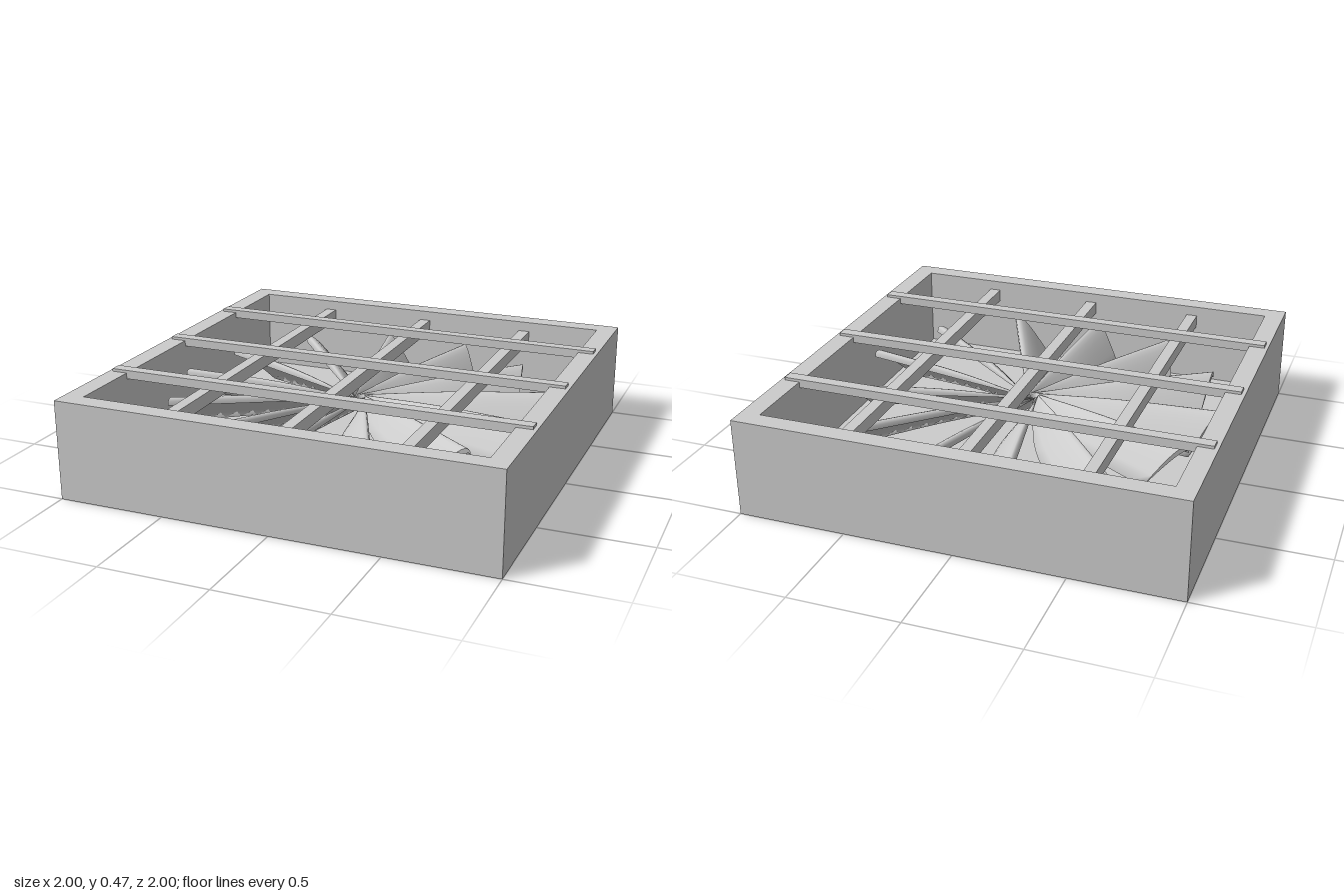
import * as THREE from 'three';

const mat = new THREE.MeshStandardMaterial({ color: 0xcccccc });
const bladeMat = new THREE.MeshStandardMaterial({ color: 0xcccccc, side: THREE.DoubleSide });

function box(name, w, h, d, x, y, z) {
  const m = new THREE.Mesh(new THREE.BoxGeometry(w, h, d), mat);
  m.name = name;
  m.position.set(x, y, z);
  return m;
}

// Square housing: extruded walls with a square opening
function housingWalls() {
  const square = (s) => [[-s, -s], [s, -s], [s, s], [-s, s]].map(([x, y]) => new THREE.Vector2(x, y));
  const shape = new THREE.Shape(square(1));
  shape.holes.push(new THREE.Path(square(0.91).reverse()));
  const geo = new THREE.ExtrudeGeometry(shape, { depth: 0.457, bevelEnabled: false });
  geo.rotateX(-Math.PI / 2);
  const m = new THREE.Mesh(geo, mat);
  m.name = 'housingWalls';
  return m;
}

// Blade: cambered sections lofted from the centre to the slanted tip
function bladeGeometry() {
  const v = (x, y, z) => new THREE.Vector3(x, y, z);
  const lead = new THREE.CatmullRomCurve3([v(0.01, 0.28, -0.025), v(0.42, 0.285, -0.045), v(0.89, 0.29, -0.062)]);
  const trail = new THREE.CatmullRomCurve3([v(0.01, 0.22, 0.005), v(0.34, 0.18, 0.092), v(0.78, 0.15, 0.11)]);
  const stations = 12, half = 9, ring = half * 2;
  const pos = [], idx = [];
  for (let s = 0; s <= stations; s++) {
    const a = lead.getPoint(s / stations), b = trail.getPoint(s / stations);
    const width = b.z - a.z;
    for (let k = 0; k < ring; k++) {
      const upper = k <= half;
      const u = upper ? k / half : (ring - k) / half;
      const c = u * u;
      // rounded nose, thin trailing edge
      const p = a.clone().lerp(b, c);
      p.y += (Math.sqrt(c) - c) * (upper ? 1.3 : 0.7) * width;
      pos.push(p.x, p.y, p.z);
    }
  }
  for (let s = 0; s < stations; s++)
    for (let k = 0; k < ring; k++) {
      const p = s * ring + k, q = s * ring + (k + 1) % ring;
      idx.push(p, q, p + ring, q, q + ring, p + ring);
    }
  // tip cap with its own vertices, bridging upper and lower edges
  const base = pos.length / 3;
  pos.push(...pos.slice(stations * ring * 3));
  for (let k = 0; k < half; k++) {
    const u0 = base + k, u1 = u0 + 1;
    const l0 = base + (ring - k) % ring, l1 = base + ring - k - 1;
    idx.push(u0, u1, l1, u0, l1, l0);
  }
  const geo = new THREE.BufferGeometry();
  geo.setAttribute('position', new THREE.Float32BufferAttribute(pos, 3));
  geo.setIndex(idx);
  geo.computeVertexNormals();
  return geo;
}

export function createModel() {
  const model = new THREE.Group();
  model.name = 'boxFan';

  model.add(housingWalls(), box('housingFloor', 1.82, 0.07, 1.82, 0, 0.035, 0));

  // Crossed guard bars: upper ones rest on the rim, lower ones sit between the walls
  const guard = new THREE.Group();
  guard.name = 'guard';
  for (const p of [-0.538, 0, 0.537]) {
    guard.add(box('upperBar', 1.965, 0.04, 0.053, 0, 0.45, p));
    guard.add(box('lowerBar', 0.053, 0.06, 1.82, p, 0.38, 0));
  }
  model.add(guard);

  // Thirteen identical blades, stepped slightly wider than an even ring
  const rotor = new THREE.Group();
  rotor.name = 'rotor';
  const geo = bladeGeometry();
  const step = THREE.MathUtils.degToRad(27.87);
  for (let i = 0; i < 13; i++) {
    const blade = new THREE.Mesh(geo, bladeMat);
    blade.name = 'blade';
    blade.rotation.y = Math.PI + i * step;
    rotor.add(blade);
  }
  model.add(rotor);
  return model;
}
